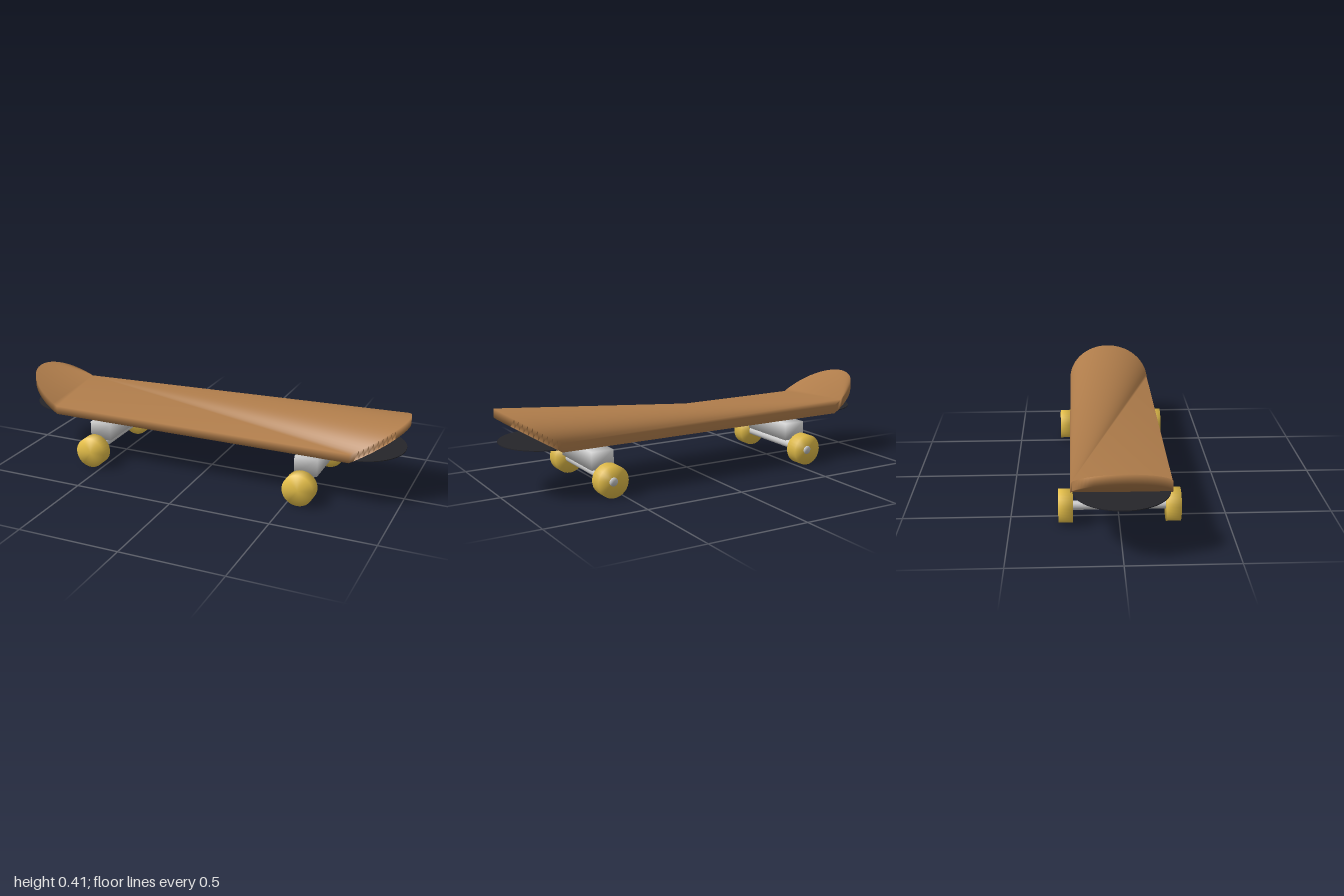
import * as THREE from 'three';
import { mergeVertices } from 'three/addons/utils/BufferGeometryUtils.js';

const HALF = 0.778;   // half length of the straight part
const RADIUS = 0.222; // radius of the round ends

const material = (color) => new THREE.MeshStandardMaterial({ color });
const wood = material(0xb07d4b);
const metal = material(0xcccccc);
const rubber = material(0xe6c04a);
const black = material(0x25252a);

// Welds the corners so that shading runs smoothly over the edges
function soften(geometry) {
  geometry.deleteAttribute('normal');
  geometry.deleteAttribute('uv');
  const welded = mergeVertices(geometry);
  welded.computeVertexNormals();
  return welded;
}

function addPart(parent, name, geometry, mat, x = 0, y = 0, z = 0) {
  const mesh = new THREE.Mesh(geometry, mat);
  mesh.name = name;
  mesh.position.set(x, y, z);
  parent.add(mesh);
}

// Stadium outline with upturned ends; both caps fan out from the back left corner
function deckGeometry() {
  const segments = 32, base = 0.2355, thickness = 0.043, slope = 0.604;
  const outline = [];
  for (const side of [1, -1]) {
    for (let i = 0; i <= segments; i++) {
      const angle = side * (Math.PI / 2 - (Math.PI * i) / segments);
      outline.push([side * (HALF + RADIUS * Math.cos(angle)), RADIUS * Math.sin(angle)]);
    }
  }
  const count = outline.length;
  const positions = [];
  for (const lift of [0, thickness]) {
    for (const [x, z] of outline) {
      positions.push(x, base + lift + slope * Math.max(0, Math.abs(x) - HALF), z);
    }
  }

  const apex = segments + 3;
  const index = [];
  for (let k = 1; k < count - 1; k++) {
    const a = (apex + k) % count, b = (apex + k + 1) % count;
    index.push(apex + count, a + count, b + count); // top
    index.push(apex, b, a);                         // underside
  }
  for (let i = 0; i < count; i++) {                 // rim
    const j = (i + 1) % count;
    index.push(i, j, j + count, i, j + count, i + count);
  }
  const geometry = new THREE.BufferGeometry();
  geometry.setAttribute('position', new THREE.Float32BufferAttribute(positions, 3));
  geometry.setIndex(index);
  geometry.computeVertexNormals();
  return geometry;
}

// Thin flat sheet with round ends
function sheetGeometry(radius, depth) {
  const shape = new THREE.Shape();
  shape.moveTo(-HALF, -radius);
  shape.lineTo(HALF, -radius);
  shape.absarc(HALF, 0, radius, -Math.PI / 2, Math.PI / 2, false);
  shape.lineTo(-HALF, radius);
  shape.absarc(-HALF, 0, radius, Math.PI / 2, Math.PI * 1.5, false);
  const geometry = new THREE.ExtrudeGeometry(shape, { depth, bevelEnabled: false, curveSegments: 16 });
  return geometry.rotateX(-Math.PI / 2);
}

function createTruck() {
  const truck = new THREE.Group();
  truck.name = 'truck';
  const wheelRadius = 0.0777;
  addPart(truck, 'hanger', soften(new THREE.BoxGeometry(0.115, 0.088, 0.334)), metal, 0, 0.156);
  // The axle ends just show on the back wheel faces
  const axle = new THREE.CylinderGeometry(0.0215, 0.0215, 0.556, 20).rotateX(Math.PI / 2);
  addPart(truck, 'axle', soften(axle), metal, 0, 0.0785, -0.001);
  for (const z of [0.2465, -0.2447]) {
    const wheel = new THREE.CylinderGeometry(wheelRadius, wheelRadius, 0.0665, 32).rotateX(Math.PI / 2);
    addPart(truck, 'wheel', soften(wheel), rubber, 0, wheelRadius, z);
  }
  return truck;
}

export function createModel() {
  const model = new THREE.Group();
  model.name = 'skateboard';
  addPart(model, 'deck', deckGeometry(), wood);
  addPart(model, 'gripSheet', sheetGeometry(0.212, 0.004), black, 0, 0.245);
  for (const side of [1, -1]) {
    const truck = createTruck();
    truck.position.x = side * 0.556;
    model.add(truck);
  }
  return model;
}
